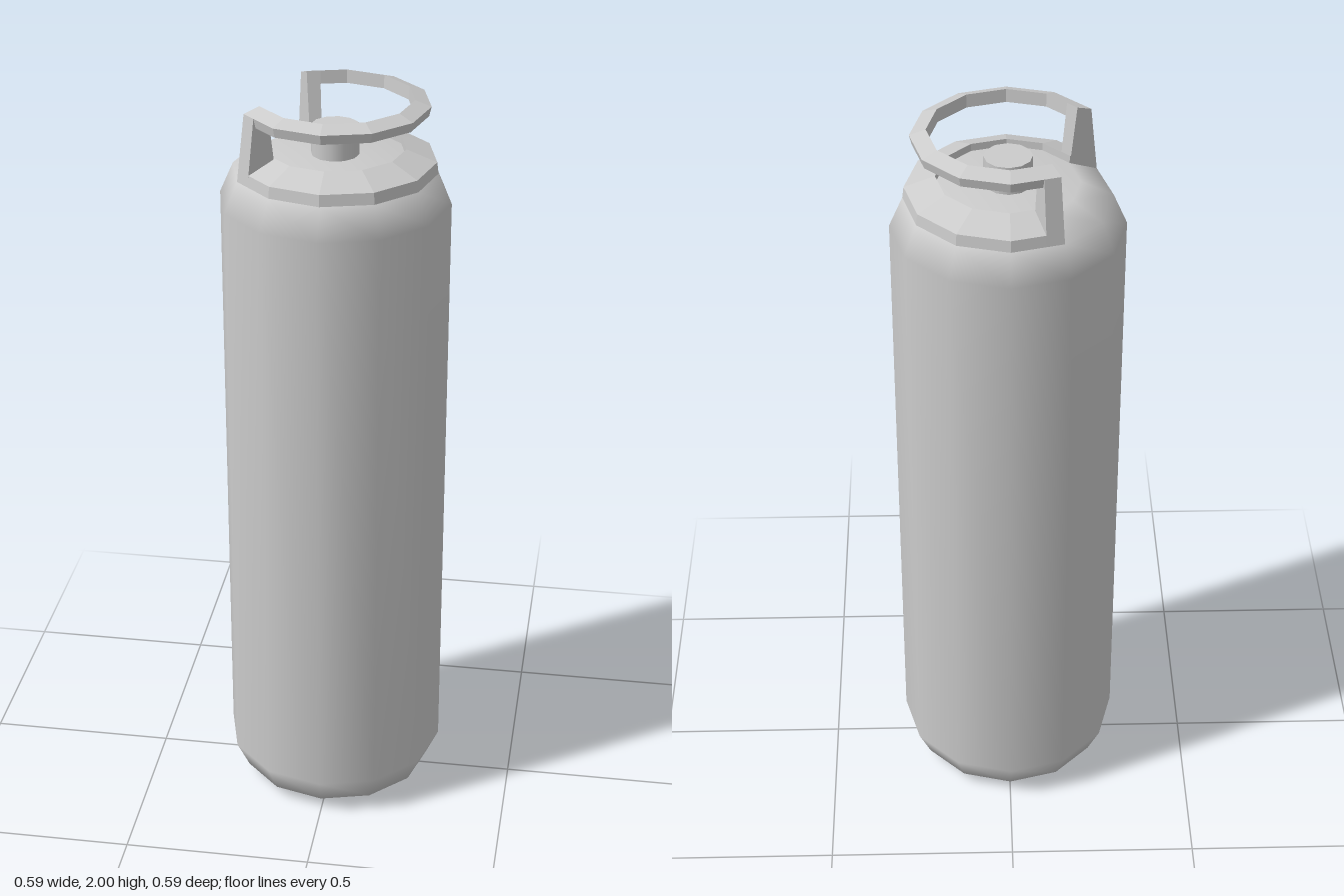
import * as THREE from 'three';

const SIDES = 12;
const STEP = 360 / SIDES;

// Scale that keeps a point at this angle on the straight side of the 12-gon
function polygonScale(deg) {
  const offset = ((deg % STEP) + STEP) % STEP - STEP / 2;
  return Math.cos(Math.PI / SIDES) / Math.cos(THREE.MathUtils.degToRad(offset));
}

// Sweep a closed (radius, height) section, listed counter-clockwise, around the y axis
function sweepSection(section, angles) {
  const n = section.length;
  const positions = [];
  const index = [];
  for (const deg of angles) {
    const a = THREE.MathUtils.degToRad(deg);
    const s = polygonScale(deg);
    for (const [r, y] of section) positions.push(r * s * Math.cos(a), y, r * s * Math.sin(a));
  }
  for (let i = 0; i < angles.length - 1; i++) {
    for (let k = 0; k < n; k++) {
      const a = i * n + k;
      const b = i * n + (k + 1) % n;
      index.push(a, b, a + n, b, b + n, a + n);
    }
  }
  // End caps
  const last = (angles.length - 1) * n;
  for (let k = 1; k < n - 1; k++) {
    index.push(0, k + 1, k);
    index.push(last, last + k, last + k + 1);
  }
  const geometry = new THREE.BufferGeometry();
  geometry.setAttribute('position', new THREE.Float32BufferAttribute(positions, 3));
  geometry.setIndex(index);
  geometry.computeVertexNormals();
  return geometry;
}

export function createModel() {
  const group = new THREE.Group();
  const smooth = new THREE.MeshStandardMaterial({ color: 0xcccccc });
  const faceted = new THREE.MeshStandardMaterial({ color: 0xcccccc, flatShading: true });

  const add = (name, geometry, material, parent = group) => {
    const mesh = new THREE.Mesh(geometry, material);
    mesh.name = name;
    parent.add(mesh);
    return mesh;
  };

  // Tank with rounded shoulders
  const profile = [
    [0, 0], [0.18, 0], [0.262, 0.035], [0.297, 0.11],
    [0.297, 1.73], [0.262, 1.81], [0.18, 1.85], [0, 1.85],
  ].map(([r, y]) => new THREE.Vector2(r, y));
  add('tank', new THREE.LatheGeometry(profile, SIDES), smooth);

  // Valve stub
  const valve = add('valve', new THREE.CylinderGeometry(0.061, 0.061, 0.085, SIDES), smooth);
  valve.position.y = 1.8825;

  // Open guard collar: base band, handle rim and a post at each end
  const collar = new THREE.Group();
  collar.name = 'guardCollar';
  group.add(collar);

  const start = -120;
  const end = 150;
  const arc = [];
  for (let a = start; a <= end; a += STEP) arc.push(a);

  const baseSection = [[0.18, 1.84], [0.262, 1.808], [0.258, 1.84], [0.18, 1.87]];
  const rimSection = [[0.198, 1.965], [0.235, 1.96], [0.241, 1.985], [0.2, 2]];
  const postSection = [[0.18, 1.84], [0.262, 1.808], [0.241, 1.985], [0.2, 2]];
  add('collarBase', sweepSection(baseSection, arc), faceted, collar);
  add('handleRim', sweepSection(rimSection, arc), faceted, collar);
  add('backPost', sweepSection(postSection, [start, start + 10]), faceted, collar);
  add('frontPost', sweepSection(postSection, [end - 10, end]), faceted, collar);

  return group;
}
